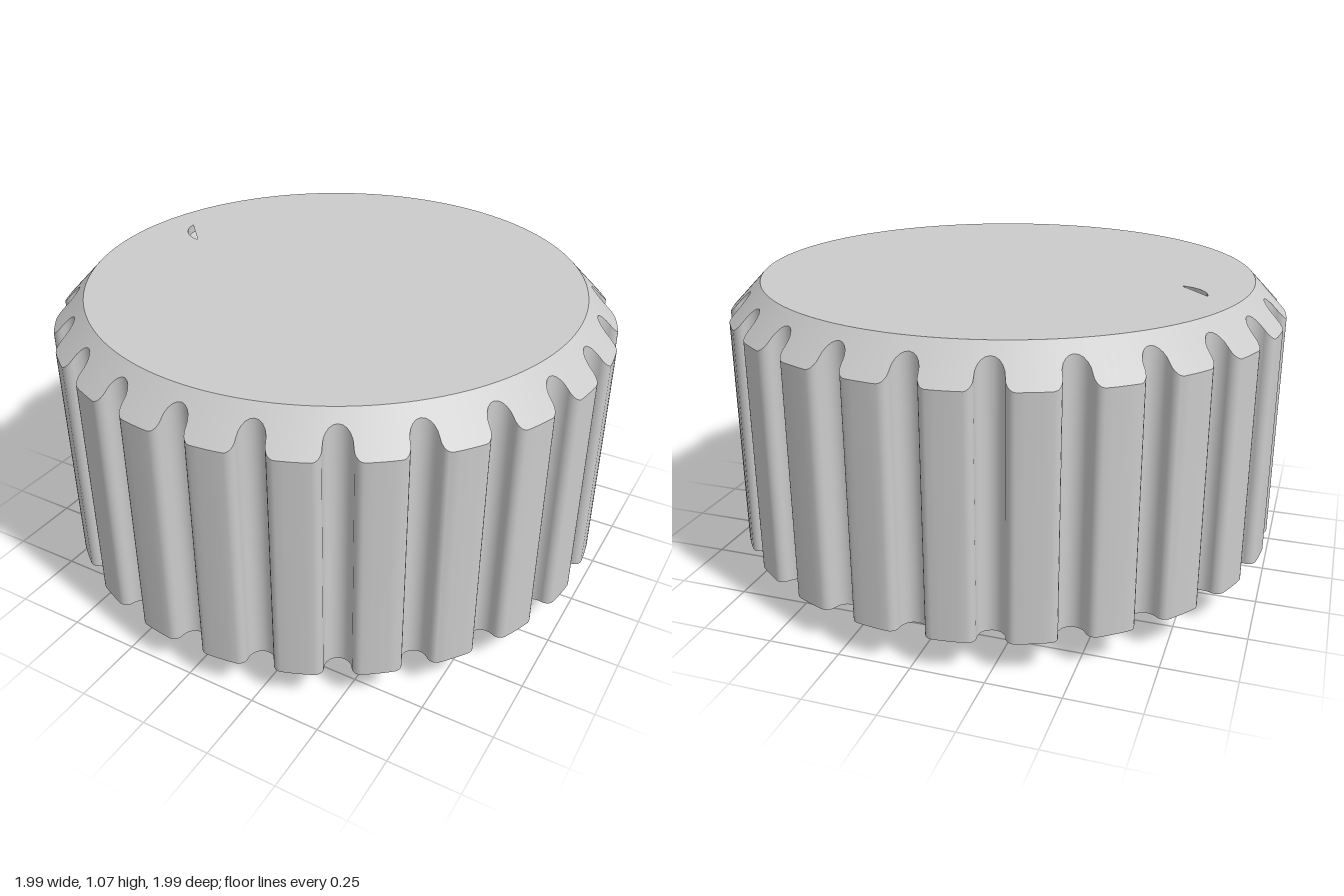
import * as THREE from 'three';
import { toCreasedNormals } from 'three/addons/utils/BufferGeometryUtils.js';

const GROOVES = 24, BASE = 0.12, SHOULDER = 0.945, TOP = 1.065, TOP_R = 0.885;
const BORE_R = 0.38, BORE_TOP = 0.8, FLAT_X = -0.16;
const DIMPLE = { x: -0.63, z: -0.17, r: 0.12 };

const material = new THREE.MeshStandardMaterial({ color: 0xcccccc });

function part(name, geometry) {
  const mesh = new THREE.Mesh(toCreasedNormals(geometry, 0.6), material);
  mesh.name = name;
  return mesh;
}

// Closed wall through stacked rings of [x, y, z] points
function loft(rings) {
  const n = rings[0].length, index = [];
  for (let k = 0; k < rings.length - 1; k++) {
    for (let i = 0; i < n; i++) {
      const j = (i + 1) % n, a = k * n + i, b = k * n + j;
      index.push(a, b, b + n, a, b + n, a + n);
    }
  }
  const g = new THREE.BufferGeometry();
  g.setAttribute('position', new THREE.Float32BufferAttribute(rings.flat(2), 3));
  g.setIndex(index);
  return g;
}

const ring = (pts, y) => pts.map(p => [p.x, y, -p.y]);

function cap(outline, y, up, hole) {
  const shape = new THREE.Shape(outline);
  if (hole) shape.holes.push(hole);
  return new THREE.ShapeGeometry(shape, 24).rotateX(up ? -Math.PI / 2 : Math.PI / 2).translate(0, y, 0);
}

const circleHole = (x, y, r) => new THREE.Path(
  new THREE.Path().absarc(x, y, r, 0, Math.PI * 2, true).getPoints(48).slice(0, -1));

// Grip outline: round-bottomed grooves with rounded lips between plain teeth
function gripOutline() {
  const local = [];
  const arc = (cx, cy, r, from, to, steps) => {
    for (let i = 0; i <= steps; i++) {
      const a = THREE.MathUtils.degToRad(from + (to - from) * i / steps);
      local.push([cx + r * Math.cos(a), cy + r * Math.sin(a)]);
    }
  };
  arc(-0.075, 0.967, 0.03, 90, 0, 5);
  arc(0, 0.965, 0.045, 180, 360, 10);
  arc(0.075, 0.967, 0.03, 180, 90, 5);
  const pitch = Math.PI * 2 / GROOVES, lip = Math.atan2(0.075, 0.997);
  for (let i = 1; i < 4; i++) {
    const a = lip + (pitch - 2 * lip) * i / 4;
    local.push([Math.sin(a), Math.cos(a)]);
  }
  const pts = [];
  for (let g = 0; g < GROOVES; g++) {
    for (const [t, r] of local) {
      const a = g * pitch + Math.atan2(t, r), d = Math.hypot(t, r);
      pts.push(new THREE.Vector2(d * Math.cos(a), d * Math.sin(a)));
    }
  }
  return pts;
}

export function createModel() {
  const knob = new THREE.Group();
  knob.name = 'knob';

  // Grooved wall and conical chamfer, meeting where the cone crosses the outline
  const outline = gripOutline();
  const coneY = r => SHOULDER + (TOP - SHOULDER) * (1 - r) / (1 - TOP_R);
  const rim = outline.map(p => [p.x, coneY(p.length()), -p.y]);
  const topCircle = outline.map(p => p.clone().setLength(TOP_R));
  knob.add(part('gripWall', loft([ring(outline, BASE), rim])));
  knob.add(part('chamfer', loft([rim, ring(topCircle, TOP)])));

  // Flat faces
  knob.add(part('topFace', cap(topCircle, TOP, true, circleHole(DIMPLE.x, -DIMPLE.z, DIMPLE.r))));
  knob.add(part('underside', cap(outline, BASE, false, circleHole(0, 0, 0.495))));

  // Pointer dimple: short wall, cone and small floor
  const dimple = part('pointerDimple', new THREE.LatheGeometry([
    [0, -0.1], [0.06, -0.1], [DIMPLE.r, -0.03], [DIMPLE.r, 0],
  ].reverse().map(p => new THREE.Vector2(...p)), 48));
  dimple.position.set(DIMPLE.x, TOP, DIMPLE.z);
  knob.add(dimple);

  // Raised collar round the bore
  knob.add(part('collar', new THREE.LatheGeometry([
    [BORE_R, BASE], [BORE_R, 0], [0.495, 0], [0.495, BASE],
  ].map(p => new THREE.Vector2(...p)), 72)));

  // D-shaped shaft bore with a ledge where its flat begins
  const a = Math.acos(FLAT_X / BORE_R);
  const arcPoints = (from, to, n) => Array.from({ length: n + 1 }, (_, i) => {
    const t = from + (to - from) * i / n;
    return new THREE.Vector2(BORE_R * Math.cos(t), BORE_R * Math.sin(t));
  });
  const bore = arcPoints(-a, a, 48);
  const inward = [...bore].reverse();
  knob.add(part('boreWall', loft([ring(inward, BASE), ring(inward, BORE_TOP)])));
  knob.add(part('boreCeiling', cap(bore, BORE_TOP, false)));
  knob.add(part('boreLedge', cap(arcPoints(a, Math.PI * 2 - a, 28), BASE, false)));

  return knob;
}
